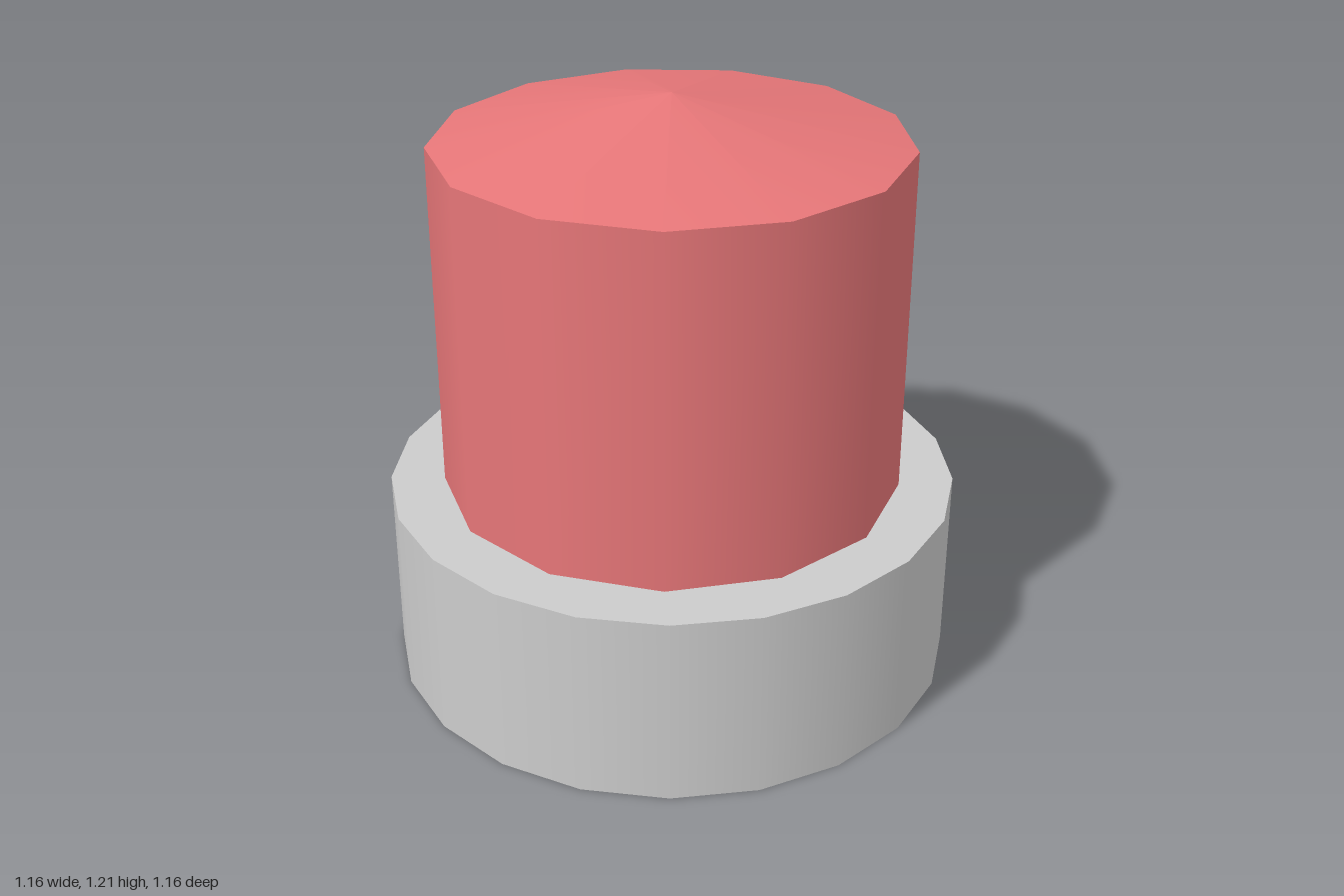
import * as THREE from 'three';

// Shared axis of all parts, set towards the back
const AXIS_X = -0.003;
const AXIS_Z = -0.418;

export function createModel() {
  const group = new THREE.Group();
  group.name = 'cappedButton';
  const grey = new THREE.MeshStandardMaterial({ color: 0xcccccc });
  const red = new THREE.MeshStandardMaterial({ color: 0xe67678 });

  // Upright prism or cone from y0 to y1, with its first corner on +x
  const addRound = (name, rTop, rBottom, y0, y1, sides, open, material) => {
    const geometry = new THREE.CylinderGeometry(
      rTop, rBottom, y1 - y0, sides, 1, open, Math.PI / 2);
    const mesh = new THREE.Mesh(geometry, material);
    mesh.name = name;
    mesh.position.set(AXIS_X, (y0 + y1) / 2, AXIS_Z);
    group.add(mesh);
  };

  // Wide closed base
  addRound('base', 0.584, 0.584, 0, 0.395, 21, false, grey);
  // Red column standing on the base
  addRound('column', 0.473, 0.473, 0.395, 1.115, 13, true, red);
  // Shallow pointed cap
  addRound('cap', 0, 0.473, 1.115, 1.21, 13, true, red);

  return group;
}
